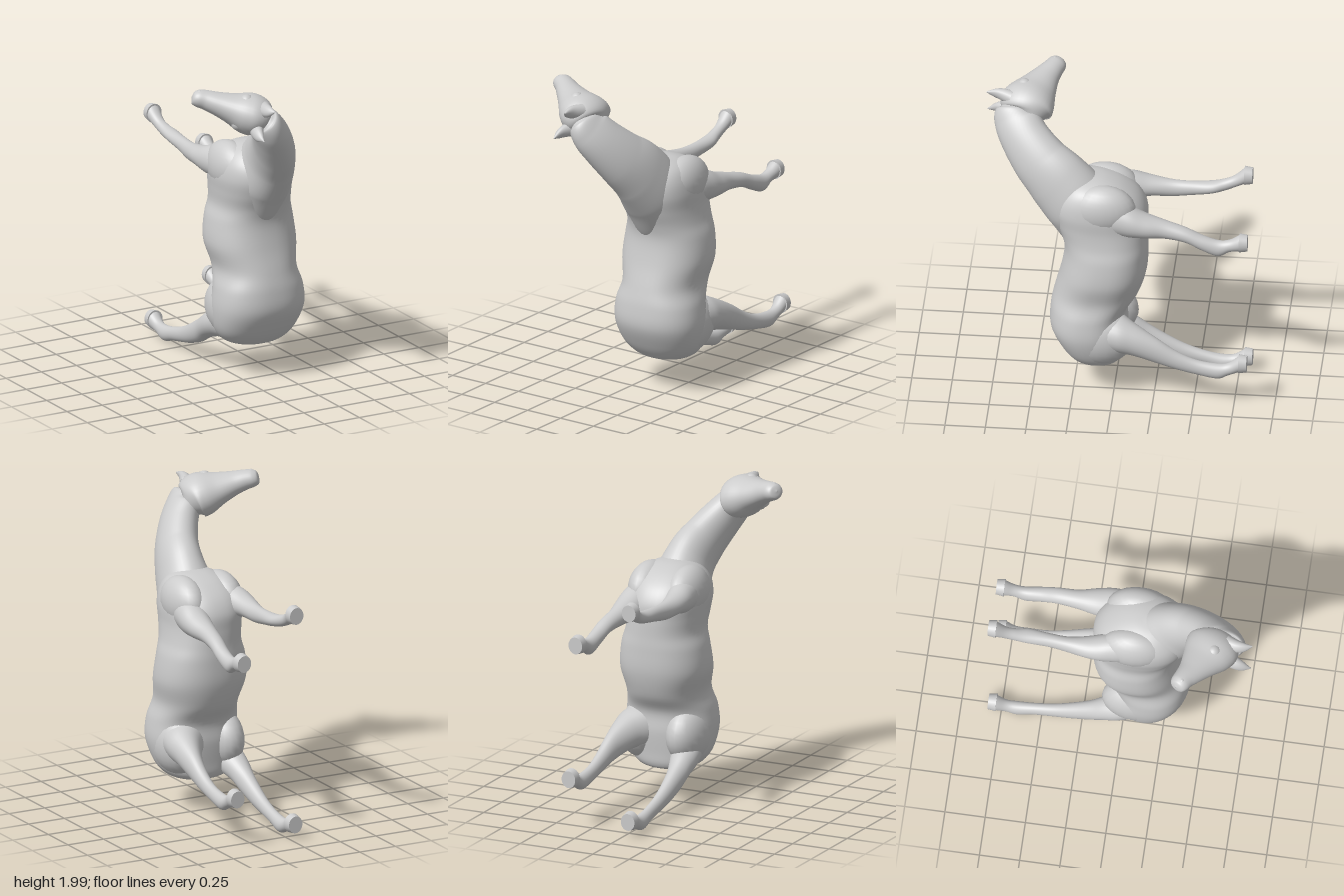
import * as THREE from 'three';

const material = new THREE.MeshStandardMaterial({ color: 0xcccccc, side: THREE.DoubleSide });
const V = (a) => new THREE.Vector3(...a);

function part(name, geometry) {
  const mesh = new THREE.Mesh(geometry, material);
  mesh.name = name;
  return mesh;
}

// Smooth skin through sections [x, y, z, side radius, depth radius].
// A normal keeps all sections parallel; a power under 1 squares them off.
function loft(name, keys, { side = [1, 0, 0], normal, rows = 56, cols = 32, power = 1 } = {}) {
  const spine = new THREE.CatmullRomCurve3(keys.map((k) => V(k.slice(0, 3))), false, 'catmullrom');
  const radii = new THREE.CatmullRomCurve3(keys.map((k) => V([k[3], k[4], 0])), false, 'catmullrom');
  const bend = (s) => Math.sign(s) * Math.abs(s) ** power;
  const pos = [], index = [];
  for (let i = 0; i <= rows; i++) {
    const c = spine.getPoint(i / rows), r = radii.getPoint(i / rows);
    const t = normal ? V(normal) : spine.getTangent(i / rows);
    const u = V(side).addScaledVector(t, -V(side).dot(t)).normalize();
    const v = new THREE.Vector3().crossVectors(t, u);
    for (let j = 0; j < cols; j++) {
      const a = (j / cols) * Math.PI * 2;
      const p = c.clone()
        .addScaledVector(u, bend(Math.cos(a)) * Math.max(r.x, 0.001))
        .addScaledVector(v, bend(Math.sin(a)) * Math.max(r.y, 0.001));
      pos.push(p.x, p.y, p.z);
      if (i < rows) {
        const k = (j + 1) % cols, n = i * cols;
        index.push(n + j, n + k, n + cols + k, n + j, n + cols + k, n + cols + j);
      }
    }
  }
  const g = new THREE.BufferGeometry();
  g.setAttribute('position', new THREE.Float32BufferAttribute(pos, 3));
  g.setIndex(index);
  g.computeVertexNormals();
  return part(name, g);
}

function ball(name, center, radius, scale = [1, 1, 1]) {
  const mesh = part(name, new THREE.SphereGeometry(radius, 24, 16));
  mesh.position.set(...center);
  mesh.scale.set(...scale);
  return mesh;
}

// Leg skin plus a flared hoof pointing to -z
function leg(name, keys, x, y) {
  const group = new THREE.Group();
  group.name = name;
  group.add(loft('limb', [...keys, [x, y, -0.785, 0.047, 0.054]], { normal: [0, 0, -1] }));
  const hoof = part('hoof', new THREE.CylinderGeometry(0.047, 0.054, 0.05, 28));
  hoof.rotation.x = -Math.PI / 2;
  hoof.scale.z = 1.14;
  hoof.position.set(x, y, -0.806);
  group.add(hoof);
  return group;
}

export function createModel() {
  const horse = new THREE.Group();
  horse.name = 'horse';

  // Rump, barrel and chest
  horse.add(loft('torso', [
    [0.15, 0.195, 0.1, 0.005, 0.005], [0.15, 0.207, 0.1, 0.13, 0.12], [0.15, 0.24, 0.11, 0.21, 0.165],
    [0.15, 0.32, 0.135, 0.265, 0.2], [0.155, 0.45, 0.16, 0.292, 0.237], [0.155, 0.58, 0.16, 0.28, 0.237],
    [0.155, 0.7, 0.112, 0.252, 0.26], [0.15, 0.85, 0.07, 0.282, 0.264], [0.15, 1.0, 0.055, 0.268, 0.257],
    [0.15, 1.1, 0.065, 0.24, 0.265], [0.14, 1.2, 0.085, 0.235, 0.285], [0.135, 1.3, 0.1, 0.238, 0.295],
    [0.135, 1.39, 0.115, 0.22, 0.26], [0.14, 1.46, 0.13, 0.175, 0.185], [0.14, 1.5, 0.145, 0.1, 0.1],
    [0.14, 1.515, 0.15, 0.005, 0.005],
  ], { normal: [0, 1, 0], rows: 90, cols: 48, power: 0.88 }));

  // Neck rising out of the withers and turning toward the head
  horse.add(loft('neck', [
    [0.145, 0.98, 0.08, 0.08, 0.15], [0.14, 1.14, 0.16, 0.14, 0.19], [0.14, 1.3, 0.235, 0.175, 0.215],
    [0.13, 1.45, 0.355, 0.145, 0.205], [0.09, 1.56, 0.47, 0.128, 0.18], [0.022, 1.675, 0.57, 0.115, 0.158],
    [-0.043, 1.765, 0.625, 0.102, 0.145], [-0.085, 1.81, 0.63, 0.088, 0.115], [-0.11, 1.83, 0.625, 0.01, 0.01],
  ], { rows: 72, cols: 40 }));

  // Head, rolled so the brow faces +z
  const across = [0.41, 0.91, 0];
  const head = new THREE.Group();
  head.name = 'head';
  head.add(loft('skull', [
    [-0.04, 1.79, 0.6, 0.01, 0.01], [-0.055, 1.798, 0.59, 0.09, 0.115], [-0.1, 1.827, 0.577, 0.127, 0.168],
    [-0.16, 1.85, 0.55, 0.127, 0.16], [-0.235, 1.88, 0.512, 0.096, 0.122], [-0.31, 1.91, 0.472, 0.074, 0.088],
    [-0.37, 1.933, 0.435, 0.062, 0.068], [-0.415, 1.945, 0.41, 0.054, 0.06],
    [-0.437, 1.954, 0.397, 0.038, 0.042], [-0.445, 1.957, 0.392, 0.003, 0.003],
  ], { side: across }));
  for (const s of [1, -1]) {
    const off = (p, d) => p.map((c, i) => c + s * d * across[i]);
    head.add(ball('brow', off([-0.2, 1.868, 0.59], 0.072), 0.045));
    head.add(ball('nostril', off([-0.42, 1.95, 0.425], 0.032), 0.02));
    head.add(loft('ear', [
      [...off([-0.115, 1.832, 0.66], 0.065), 0.05, 0.045], [...off([-0.138, 1.834, 0.72], 0.074), 0.044, 0.036],
      [...off([-0.145, 1.832, 0.77], 0.085), 0.032, 0.022], [...off([-0.14, 1.83, 0.82], 0.097), 0.003, 0.003],
    ], { side: across, rows: 16, cols: 16 }));
  }
  horse.add(head);

  // Shoulders and thighs
  for (const s of [1, -1]) {
    horse.add(ball('shoulder', [0.135 + s * 0.13, 1.34, 0.07], 0.18, [0.65, 0.9, 1.15]));
    horse.add(ball('thigh', [0.155 + s * 0.155, 0.43, 0.09], 0.2, [0.66, 0.95, 1.1]));
  }

  // Legs, each rooted inside the body
  horse.add(leg('leftForeleg', [
    [0.2, 1.31, 0.2, 0.02, 0.03], [0.255, 1.3, 0.06, 0.09, 0.11], [0.285, 1.28, -0.08, 0.097, 0.105],
    [0.295, 1.255, -0.2, 0.085, 0.078], [0.3, 1.238, -0.32, 0.06, 0.058], [0.315, 1.213, -0.45, 0.05, 0.048],
    [0.325, 1.17, -0.55, 0.046, 0.05], [0.328, 1.137, -0.65, 0.042, 0.054], [0.33, 1.16, -0.72, 0.037, 0.04],
  ], 0.33, 1.185));
  horse.add(leg('rightForeleg', [
    [0.07, 1.34, 0.2, 0.02, 0.03], [0.01, 1.34, 0.06, 0.09, 0.1], [-0.02, 1.34, -0.08, 0.09, 0.095],
    [-0.035, 1.335, -0.2, 0.072, 0.066], [-0.033, 1.325, -0.33, 0.048, 0.056], [-0.025, 1.335, -0.45, 0.042, 0.046],
    [-0.022, 1.352, -0.58, 0.047, 0.039], [-0.03, 1.37, -0.66, 0.038, 0.038], [-0.035, 1.395, -0.72, 0.036, 0.04],
  ], -0.037, 1.44));
  horse.add(leg('leftHindLeg', [
    [0.22, 0.44, 0.24, 0.02, 0.03], [0.27, 0.46, 0.1, 0.13, 0.12], [0.3, 0.46, -0.02, 0.138, 0.125],
    [0.338, 0.435, -0.13, 0.095, 0.105], [0.365, 0.38, -0.27, 0.057, 0.085], [0.375, 0.32, -0.4, 0.042, 0.061],
    [0.378, 0.28, -0.52, 0.036, 0.049], [0.38, 0.26, -0.65, 0.04, 0.05], [0.38, 0.28, -0.72, 0.036, 0.041],
  ], 0.377, 0.32));
  horse.add(leg('rightHindLeg', [
    [0.06, 0.4, 0.22, 0.02, 0.03], [0.01, 0.35, 0.1, 0.09, 0.11], [-0.015, 0.31, -0.01, 0.095, 0.095],
    [-0.03, 0.265, -0.11, 0.075, 0.085], [-0.035, 0.207, -0.2, 0.058, 0.08], [-0.035, 0.15, -0.32, 0.046, 0.065],
    [-0.033, 0.11, -0.43, 0.038, 0.051], [-0.03, 0.078, -0.55, 0.035, 0.045], [-0.03, 0.055, -0.65, 0.04, 0.05],
    [-0.03, 0.07, -0.72, 0.036, 0.041],
  ], -0.03, 0.1));

  return horse;
}
